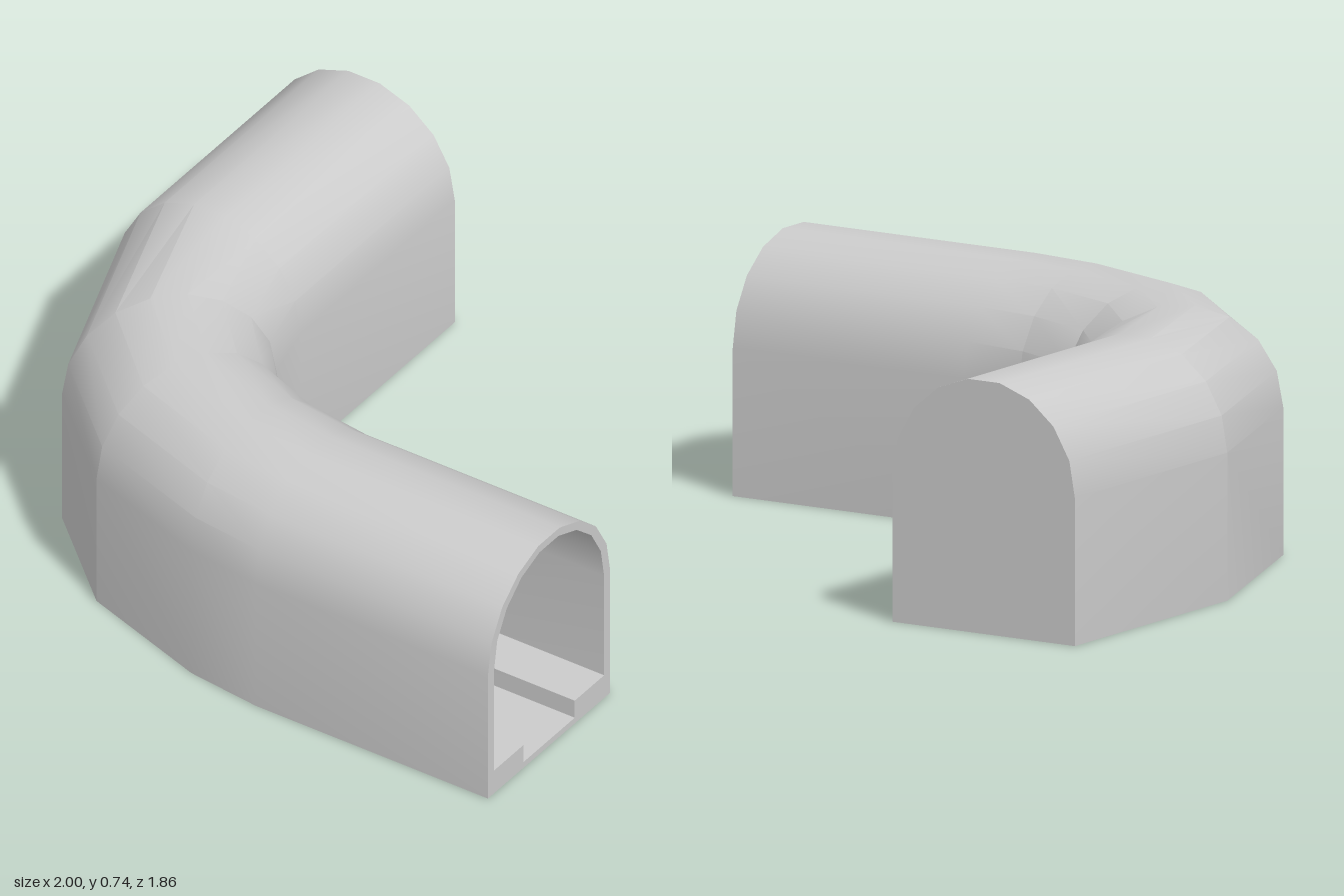
import * as THREE from 'three';
import { toCreasedNormals } from 'three/addons/utils/BufferGeometryUtils.js';

// Plan of the bend as stations: [inside wall x, z, outside wall x, z]
const stations = [
  [1, 0.305, 1, 0.925],
  [0.21, 0.305, 0.2, 0.925],
  [0, 0.275, -0.04, 0.897],
  [-0.2, 0.195, -0.46, 0.76],
  [-0.33, 0.04, -0.77, 0.48],
  [-0.375, -0.15, -1, -0.15],
  [-0.375, -0.93, -1, -0.93],
];
const innerEnd = [-0.375, -0.9, -1, -0.9];

// u runs across the tunnel: 0 = inside wall, 1 = outside wall
const place = (s, p) => [
  s[0] + (s[2] - s[0]) * p.x, p.y, s[1] + (s[3] - s[1]) * p.x,
];

// Arch from the outside wall over to the inside wall
function arch(ru, ry) {
  const pts = [];
  for (let i = 0; i <= 9; i++) {
    const a = (i / 9) * Math.PI;
    pts.push(new THREE.Vector2(0.5 + ru * Math.cos(a), 0.43 + ry * Math.sin(a)));
  }
  return pts;
}
const v = (x, y) => new THREE.Vector2(x, y);

// Counter-clockwise cross-sections
const outerProfile = [v(0, 0), v(1, 0), ...arch(0.5, 0.31)];
const innerProfile = [
  v(0.05, 0.08), v(0.29, 0.08), v(0.29, 0.02), v(0.71, 0.02), v(0.71, 0.08), v(0.95, 0.08),
  ...arch(0.45, 0.284),
];

// Skin through all stations, facing outward or inward
function sweep(profile, path, inward) {
  const pos = [];
  for (let k = 0; k < path.length - 1; k++) {
    profile.forEach((p, i) => {
      const q = profile[(i + 1) % profile.length];
      const a = place(path[k], p), b = place(path[k], q);
      const c = place(path[k + 1], q), d = place(path[k + 1], p);
      const quad = inward ? [a, c, b, a, d, c] : [a, b, c, a, c, d];
      pos.push(...quad.flat());
    });
  }
  const g = new THREE.BufferGeometry();
  g.setAttribute('position', new THREE.Float32BufferAttribute(pos, 3));
  return toCreasedNormals(g, 0.38);
}

// Flat face at one station, optionally with an opening
function endFace(profile, station, flip, hole) {
  const shape = new THREE.Shape(profile);
  if (hole) shape.holes.push(new THREE.Path(hole));
  const g = new THREE.ShapeGeometry(shape).toNonIndexed();
  const attr = g.attributes.position;
  const pts = [];
  for (let i = 0; i < attr.count; i++) pts.push(place(station, v(attr.getX(i), attr.getY(i))));
  for (let i = 0; flip && i < pts.length; i += 3) [pts[i + 1], pts[i + 2]] = [pts[i + 2], pts[i + 1]];
  const out = new THREE.BufferGeometry();
  out.setAttribute('position', new THREE.Float32BufferAttribute(pts.flat(), 3));
  out.computeVertexNormals();
  return out;
}

export function createModel() {
  const group = new THREE.Group();
  group.name = 'curvedTunnel';
  const material = new THREE.MeshStandardMaterial({ color: 0xcccccc });
  const add = (name, geometry) => {
    const mesh = new THREE.Mesh(geometry, material);
    mesh.name = name;
    group.add(mesh);
  };
  const first = stations[0], last = stations[stations.length - 1];
  const innerPath = [...stations.slice(0, -1), innerEnd];

  add('outerShell', sweep(outerProfile, stations, false));
  // Lining with ledges and the sunken floor channel
  add('innerLining', sweep(innerProfile, innerPath, true));
  add('openingRim', endFace(outerProfile, first, true, innerProfile));
  // Closed far end, outside and inside
  add('endWall', endFace(outerProfile, last, false));
  add('innerEndWall', endFace(innerProfile, innerEnd, true));
  return group;
}
